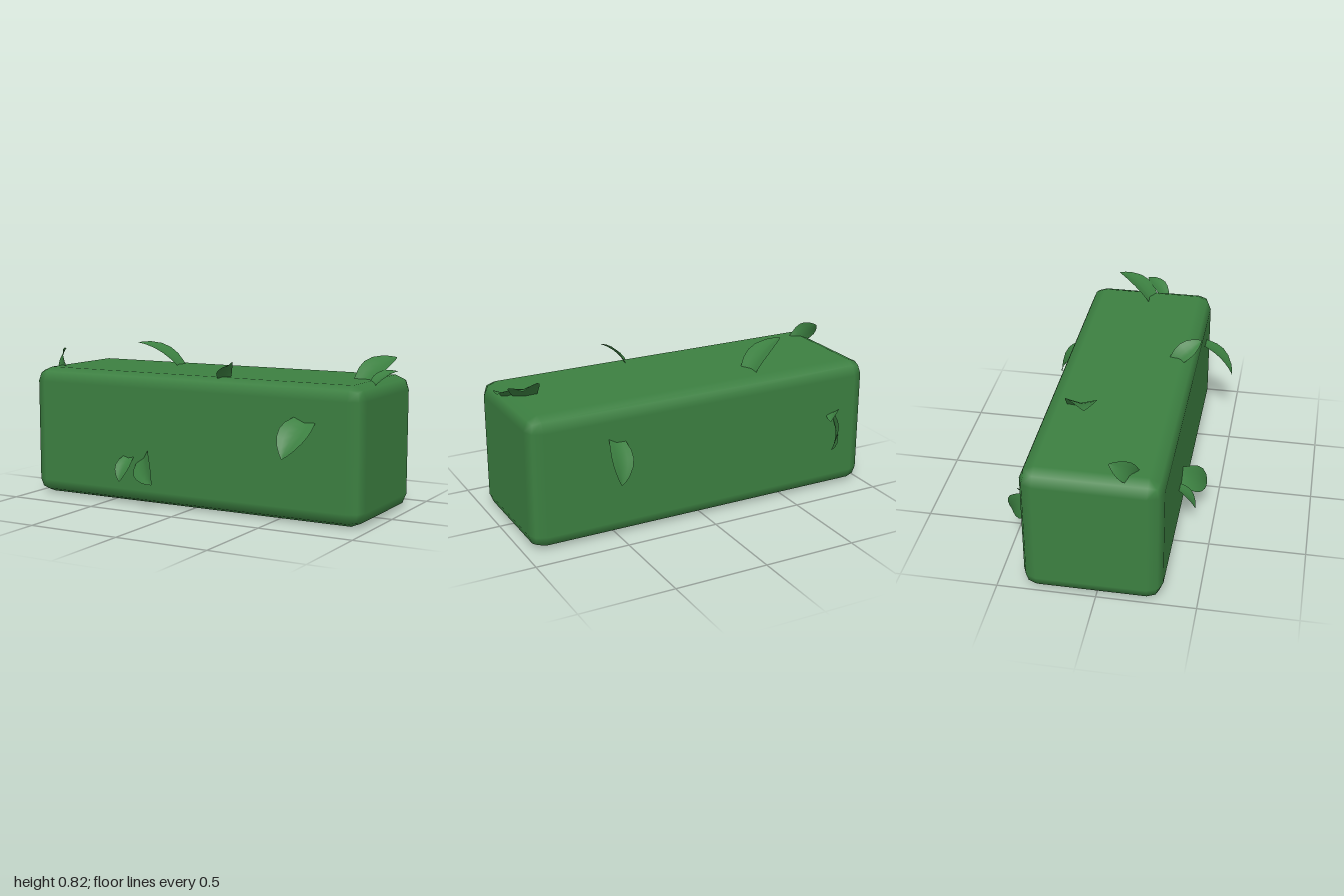
import * as THREE from 'three';
import { RoundedBoxGeometry } from 'three/addons/geometries/RoundedBoxGeometry.js';

const green = new THREE.MeshStandardMaterial({ color: 0x3c8041, side: THREE.DoubleSide });
green.name = 'hedge green';

// half-width of a leaf along its length: broad at the stem, pointed at the tip
const outline = [[-0.2, 0.6], [0, 0.78], [0.2, 0.95], [0.4, 1], [0.6, 0.88], [0.8, 0.58], [0.92, 0.3], [1, 0.03]];
const sides = [-1, -0.5, 0, 0.5, 1];

// arched leaf, slightly cupped about its midrib; facing is its upper side
function leafGeometry(base, tip, facing, width) {
  const b = new THREE.Vector3(...base);
  const d = new THREE.Vector3(...tip).sub(b);
  const length = d.length();
  const n = new THREE.Vector3(...facing);
  n.addScaledVector(d, -n.dot(d) / d.lengthSq()).normalize();
  const w = new THREE.Vector3().crossVectors(n, d).normalize();
  const positions = [], index = [];
  outline.forEach(([t, half], i) => {
    sides.forEach((s, j) => {
      const lift = length * 0.4 * t * (1 - t) + Math.abs(s) * half * width * 0.12;
      const p = b.clone().addScaledVector(d, t).addScaledVector(n, lift)
        .addScaledVector(w, s * half * width / 2);
      positions.push(p.x, p.y, p.z);
      if (i && j) {
        const c = i * sides.length + j, a = c - sides.length;
        index.push(a - 1, a, c - 1, a, c, c - 1);
      }
    });
  });
  const g = new THREE.BufferGeometry();
  g.setAttribute('position', new THREE.Float32BufferAttribute(positions, 3));
  g.setIndex(index);
  g.computeVertexNormals();
  return g;
}

// name, stem point, tip, facing, width
const leaves = [
  ['topLeafRight', [-0.37, 0.69, -0.2], [-0.6, 0.82, -0.125], [0.43, 0.9, 0], 0.16],
  ['topLeafFront', [0.165, 0.69, 0.22], [0.25, 0.775, 0.345], [-0.6, 0.75, 0], 0.1],
  ['topLeafCorner', [-0.9, 0.69, 0.17], [-0.965, 0.785, 0.065], [-0.7, 0.2, 0.7], 0.1],
  ['topLeafLeft', [0.83, 0.69, -0.02], [0.92, 0.8, -0.22], [0, 0.9, 0.4], 0.16],
  ['topLeafEdge', [0.91, 0.69, 0.04], [0.995, 0.745, -0.06], [-0.2, 0.8, 0.35], 0.1],
  ['frontLeafLeft', [0.66, 0.51, 0.325], [0.62, 0.35, 0.49], [0.1, 0.67, 0.73], 0.16],
  ['frontLeafRight', [-0.28, 0.25, 0.325], [-0.155, 0.14, 0.445], [-0.4, 0.4, 0.85], 0.14],
  ['frontLeafSmall', [-0.375, 0.245, 0.325], [-0.38, 0.13, 0.41], [0, 0.58, 0.8], 0.09],
  ['backLeafLeft', [0.5, 0.51, -0.375], [0.53, 0.33, -0.495], [-0.2, 0.52, -0.83], 0.13],
  ['backLeafRight', [-0.8, 0.39, -0.375], [-0.72, 0.27, -0.48], [-0.81, 0, -0.59], 0.13],
  ['backLeafSmall', [-0.81, 0.44, -0.375], [-0.745, 0.41, -0.43], [0.4, 0.85, 0.2], 0.07],
];

export function createModel() {
  const group = new THREE.Group();
  group.name = 'hedge';

  // softly bevelled block
  const block = new THREE.Mesh(new RoundedBoxGeometry(1.96, 0.7, 0.7, 1, 0.075), green);
  block.name = 'hedgeBlock';
  block.position.set(-0.02, 0.35, -0.025);
  group.add(block);

  // stray leaves
  for (const [name, ...shape] of leaves) {
    const leaf = new THREE.Mesh(leafGeometry(...shape), green);
    leaf.name = name;
    group.add(leaf);
  }
  return group;
}
